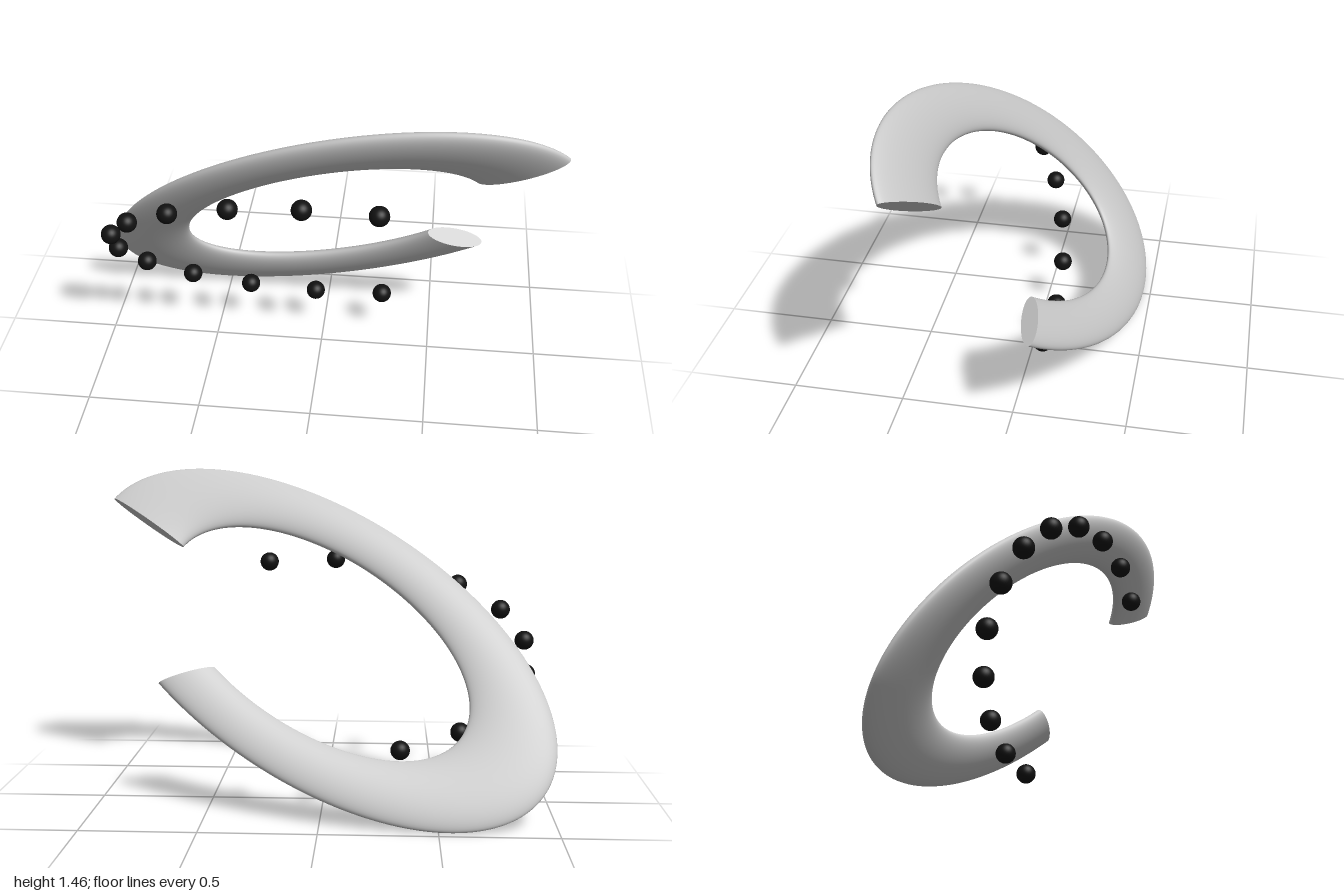
import * as THREE from 'three';

export function createModel() {
  const grey = new THREE.MeshStandardMaterial({ color: 0xcccccc });
  const black = new THREE.MeshStandardMaterial({ color: 0x111111 });
  const R = 0.984, r = 0.212, arc = 5.08;

  // Everything lies in one tilted plane
  const model = new THREE.Group();
  model.name = 'tiltedRing';
  const tilt = new THREE.Group();
  tilt.name = 'tiltFrame';
  tilt.position.set(0.03, 0.732, 0);
  tilt.rotation.x = THREE.MathUtils.degToRad(32.2);
  model.add(tilt);

  // Flatten a round ring part into the slanted oval
  const addRingPart = (name, geometry) => {
    geometry.scale(1, 0.518, 0.2);
    geometry.rotateZ(THREE.MathUtils.degToRad(35.9));
    const mesh = new THREE.Mesh(geometry, grey);
    mesh.name = name;
    tilt.add(mesh);
  };

  // Open oval ring and its two flat ends
  addRingPart('openRing', new THREE.TorusGeometry(R, r, 48, 160, arc));
  addRingPart('upperEndCap', new THREE.CircleGeometry(r, 48)
    .rotateX(Math.PI / 2).translate(R, 0, 0));
  addRingPart('lowerEndCap', new THREE.CircleGeometry(r, 48)
    .rotateX(-Math.PI / 2).translate(R, 0, 0).rotateZ(arc));

  // Arc of twelve beads floating in front of the ring
  const beads = new THREE.Group();
  beads.name = 'beadArc';
  beads.position.z = 0.188;
  const beadGeometry = new THREE.SphereGeometry(0.043, 32, 20);
  for (let i = 0; i < 12; i++) {
    const t = THREE.MathUtils.degToRad(75 + (210 * i) / 11);
    const bead = new THREE.Mesh(beadGeometry, black);
    bead.name = `bead${i + 1}`;
    bead.position.set(0.947 * Math.cos(t), 0.489 * Math.sin(t), 0);
    beads.add(bead);
  }
  tilt.add(beads);

  return model;
}
